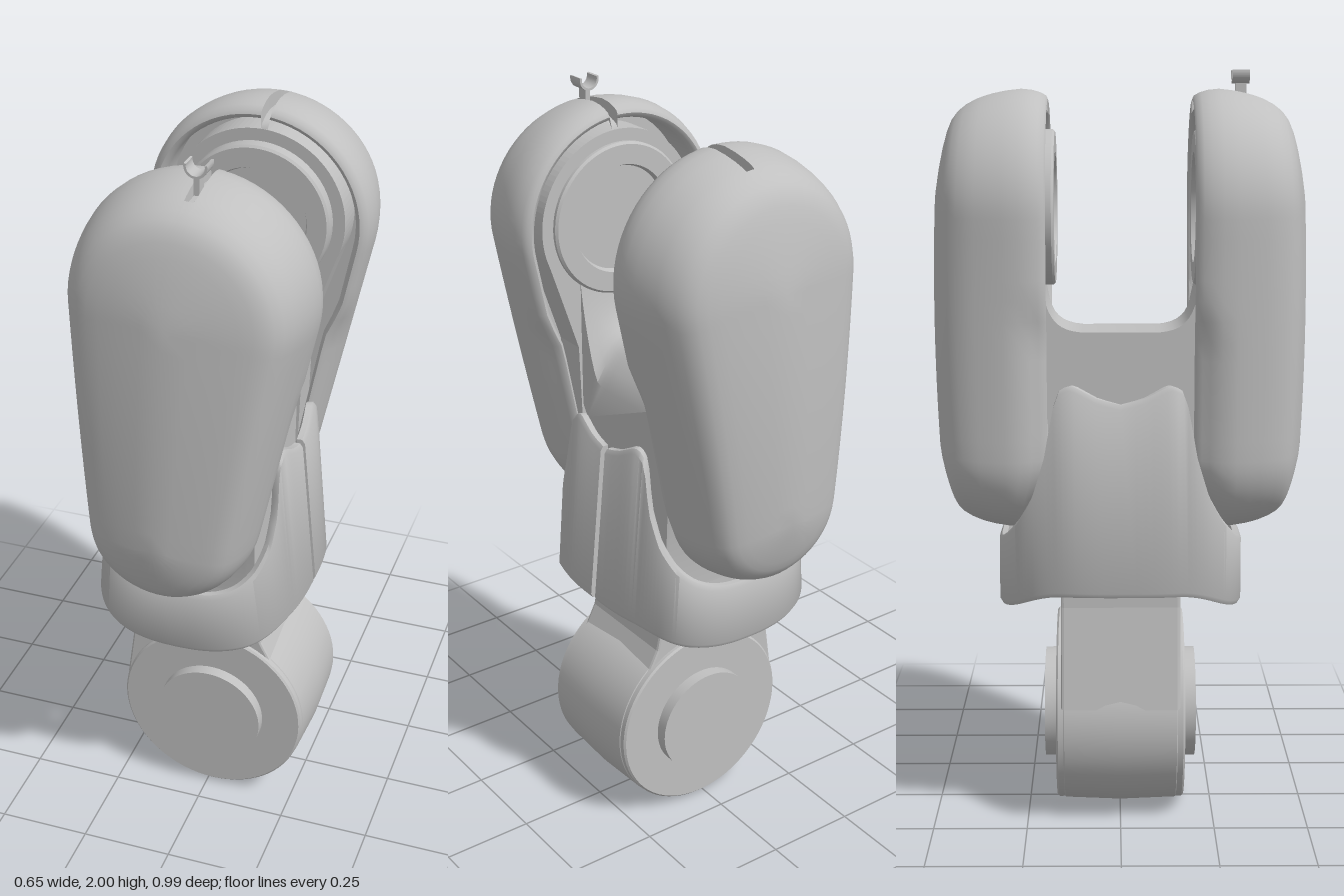
import * as THREE from 'three';
import { mergeVertices, toCreasedNormals } from 'three/addons/utils/BufferGeometryUtils.js';

const grey = new THREE.MeshStandardMaterial({ color: 0xc0c0c0 });
grey.name = 'light machine grey';

const { lerp, smoothstep } = THREE.MathUtils;

// Skin a series of closed rings
function loft(rows) {
  const n = rows[0].length, pos = [], idx = [];
  rows.forEach(r => r.forEach(p => pos.push(...p)));
  for (let i = 0; i < rows.length - 1; i++) {
    for (let j = 0; j < n; j++) {
      const k = (j + 1) % n;
      const a = i * n + j, b = i * n + k, c = b + n, d = a + n;
      idx.push(a, b, c, a, c, d);
    }
  }
  const g = new THREE.BufferGeometry();
  g.setAttribute('position', new THREE.Float32BufferAttribute(pos, 3));
  g.setIndex(idx);
  return toCreasedNormals(g, 0.7);
}

// Piecewise linear lookup in [[x, y], ...]
function lookup(table, x) {
  for (let i = 1; i < table.length; i++) {
    const [x0, y0] = table[i - 1], [x1, y1] = table[i];
    if (x <= x1) return lerp(y0, y1, (x - x0) / (x1 - x0));
  }
  return table[table.length - 1][1];
}

// Pear outline: two circles joined by tangents, with a slot at the top
const big = { x: 0.015, y: 1.64, r: 0.31 }, small = { x: -0.035, y: 1.01, r: 0.223 };
const SLOT = 1.48;
function pearOutline() {
  const out = [];
  const dx = big.x - small.x, dy = big.y - small.y;
  const axis = Math.atan2(dy, dx), half = Math.acos((small.r - big.r) / Math.hypot(dx, dy));
  const add = (f, t, slot = false) => out.push({
    x: lerp(small.x, big.x, f), y: lerp(small.y, big.y, f), r: lerp(small.r, big.r, f), t, slot
  });
  const arc = (f, a, b, n) => { for (let i = 0; i <= n; i++) add(f, lerp(a, b, i / n)); };
  arc(1, axis - half, SLOT - 0.07, 18);
  add(1, SLOT - 0.045);
  for (const d of [-0.035, 0, 0.035]) add(1, SLOT + d, true);
  add(1, SLOT + 0.045);
  arc(1, SLOT + 0.07, axis + half, 18);
  for (let i = 1; i < 12; i++) add(1 - i / 12, axis + half);
  arc(0, axis + half, axis - half + Math.PI * 2, 24);
  for (let i = 1; i < 12; i++) add(i / 12, axis - half + Math.PI * 2);
  return out;
}

// Domed side cover with hollow inner face; s = 1 front, -1 back
function podGeometry(s) {
  const sections = [[0.3, 0], [0.3, 0.86], [0.21, 0.86], [0.195, 0.88], [0.19, 0.91], [0.195, 0.945],
    [0.21, 0.97], [0.23, 0.99], [0.26, 1], [0.3, 0.985], [0.34, 0.96], [0.37, 0.935], [0.39, 0.915],
    [0.42, 0.87], [0.442, 0.815], [0.456, 0.75], [0.465, 0.67], [0.473, 0.56], [0.482, 0.4], [0.491, 0.2], [0.497, 0]];
  const outline = pearOutline();
  return loft(sections.map(([z, k], i) => {
    const ring = outline.map(o => {
      const edgeY = o.y + o.r * Math.sin(o.t);
      const waist = (1 - smoothstep(edgeY, 1.3, 1.42)) * (1 - smoothstep(z, 0.2, 0.28));
      const cut = o.slot && i > 3 && z < 0.38 ? 0.035 : 0;
      const r = o.r * k * (1 - 0.09 * waist) - cut;
      const y = o.y + r * Math.sin(o.t);
      const bow = z > 0.3 ? 0.012 * ((y - 1.42) / 0.4) ** 2 * smoothstep(z, 0.3, 0.45) : 0;
      const tuck = Math.max(0, 0.3 - z) * 0.5 * (1 - smoothstep(y, 0.8, 1.0));
      return [o.x + r * Math.cos(o.t), y, s * (z - bow + tuck)];
    });
    return s > 0 ? ring : ring.reverse();
  }));
}

// Flared cuff with tall side panels, split along its +x side
function cuffGeometry() {
  const topEdge = [[0, 1.1], [0.06, 1.115], [0.13, 1.15], [0.16, 1.14], [0.175, 1.1], [0.195, 1.0],
    [0.23, 0.91], [0.27, 0.845], [0.3, 0.805], [0.325, 0.775]];
  const rows = [], N = 140, e = 0.005;
  const power = v => Math.sign(v) * Math.abs(v) ** (2 / 3);
  for (let i = 0; i <= N; i++) {
    const th = lerp(e, Math.PI * 2 - e, i / N);
    const X = power(Math.cos(th)), Z = -power(Math.sin(th)), az = Math.abs(Z) * 0.325;
    let top = lookup(topEdge, az);
    if (X < 0) top += 0.05 * smoothstep(top, 0.85, 1.1);
    const front = smoothstep(az, 0.15, 0.3);
    const bottom = 0.655 - 0.015 * front - 0.05 * (1 - X * X) * front;
    const at = (y, inset) => {
      const a = lerp(0.295, 0.243, (y - 0.62) / 0.55) - inset;
      return [-0.032 + a * X, y, (0.325 - inset) * Z];
    };
    const ring = [at(top, 0.007), at(top - 0.012, 0), at(bottom + 0.012, 0), at(bottom, 0.007),
      at(bottom, 0.022), at(top, 0.022)];
    rows.push(ring);
  }
  // close both ends of the split
  const cap = ring => {
    const c = [0, 1, 2].map(k => ring.reduce((sum, p) => sum + p[k], 0) / ring.length);
    return ring.map(() => c);
  };
  return loft([cap(rows[0]), ...rows, cap(rows[N])]);
}

// Round part turned about the z axis, profile given as [radius, z]
function turned(profile) {
  const g = new THREE.LatheGeometry(profile.map(p => new THREE.Vector2(...p)), 72);
  g.rotateX(Math.PI / 2);
  return toCreasedNormals(g, 0.6);
}

// Saddle between the two arms, its middle sloping down toward +x
function saddleGeometry() {
  const s = new THREE.Shape();
  s.moveTo(-0.17, 0.7);
  s.lineTo(0.17, 0.7);
  s.lineTo(0.19, 1.1);
  s.lineTo(0.25, 1.2);
  s.lineTo(0.25, 1.5);
  s.lineTo(0.212, 1.5);
  s.bezierCurveTo(0.195, 1.36, 0.17, 1.335, 0.1, 1.328);
  s.lineTo(-0.1, 1.328);
  s.bezierCurveTo(-0.17, 1.335, -0.195, 1.36, -0.212, 1.5);
  s.lineTo(-0.25, 1.5);
  s.lineTo(-0.25, 1.2);
  s.lineTo(-0.19, 1.1);
  const g = new THREE.ExtrudeGeometry(s, { depth: 0.33, steps: 12, bevelEnabled: false, curveSegments: 10 });
  g.rotateY(Math.PI / 2).translate(-0.19, 0, 0);
  const p = g.attributes.position;
  for (let i = 0; i < p.count; i++) {
    const y = p.getY(i);
    const drop = 8 * Math.max(0, p.getX(i) - 0.02) ** 2 * (1 - smoothstep(Math.abs(p.getZ(i)), 0.13, 0.21));
    p.setY(i, y - drop * smoothstep(y, 1.15, 1.3));
  }
  g.deleteAttribute('normal');
  g.deleteAttribute('uv');
  return toCreasedNormals(mergeVertices(g), 0.6);
}

export function createModel() {
  const model = new THREE.Group();
  model.name = 'robotArmLink';
  const add = (name, geometry, x = 0, y = 0, z = 0) => {
    const m = new THREE.Mesh(geometry, grey);
    m.name = name;
    m.position.set(x, y, z);
    model.add(m);
  };

  // Side covers and the fork arms inside them
  for (const s of [1, -1]) {
    const side = s > 0 ? 'front' : 'back';
    add(side + 'Cover', podGeometry(s));

    const arm = new THREE.Shape();
    arm.moveTo(-0.19, 1.0);
    arm.lineTo(0.14, 1.0);
    arm.lineTo(0.15, 1.3);
    arm.quadraticCurveTo(0.19, 1.42, 0.235, 1.55);
    arm.absarc(0.015, 1.64, 0.238, -0.39, Math.PI + 0.39, false);
    arm.quadraticCurveTo(-0.195, 1.42, -0.19, 1.3);
    const armGeo = new THREE.ExtrudeGeometry(arm, { depth: 0.1, bevelEnabled: false, curveSegments: 32 });
    add(side + 'ForkArm', armGeo, 0, 0, s > 0 ? 0.21 : -0.31);

    const face = s > 0 ? 0.195 : 0.172;
    const joint = turned([[0, -0.3], [0.205, -0.3], [0.205, -face - 0.006], [0.199, -face],
      [0.146, -face], [0.14, -face - 0.015], [0, -face - 0.015]]);
    if (s > 0) joint.rotateY(Math.PI);
    add(side + 'JointRing', joint, 0.015, 1.64, 0);
  }

  add('saddle', saddleGeometry());
  add('cuff', cuffGeometry());

  // Neck leading down to the lower joint
  const neck = new THREE.Shape([[-0.205, 0.8], [-0.207, 0.6], [-0.225, 0.47], [-0.245, 0.33], [0.1, 0.25],
    [0.22, 0.43], [0.18, 0.48], [0.155, 0.53], [0.142, 0.59], [0.14, 0.8]].map(p => new THREE.Vector2(...p)));
  add('neck', new THREE.ExtrudeGeometry(neck, {
    depth: 0.3, bevelThickness: 0.008, bevelSize: 0.006, bevelOffset: -0.006, bevelSegments: 2
  }), 0, 0, -0.15);

  // Lower joint drum with raised hubs
  const halfDrum = [[0.15, 0.205], [0.15, 0.172], [0.257, 0.172], [0.262, 0.167], [0.262, 0.152], [0.264, 0.15]];
  add('lowerJoint', turned([
    [0, -0.205], ...halfDrum.map(([r, z]) => [r, -z]), [0.27, 0],
    ...halfDrum.slice().reverse(), [0, 0.205]
  ]), 0.016, 0.273, 0);

  // Cable clip standing in the front cover's slot
  add('clipBar', new THREE.BoxGeometry(0.012, 0.03, 0.13), 0.043, 1.905, 0.31);
  add('clipStem', new THREE.BoxGeometry(0.014, 0.06, 0.03), 0.043, 1.94, 0.32);
  const ring = new THREE.Shape();
  ring.absarc(0, 0, 0.029, Math.PI * 0.93, Math.PI * 2.07, false);
  ring.absarc(0, 0, 0.023, Math.PI * 2.07, Math.PI * 0.93, true);
  add('clipCradle', new THREE.ExtrudeGeometry(ring, { depth: 0.046, bevelEnabled: false, curveSegments: 16 }),
    0.043, 1.993, 0.296);

  return model;
}
